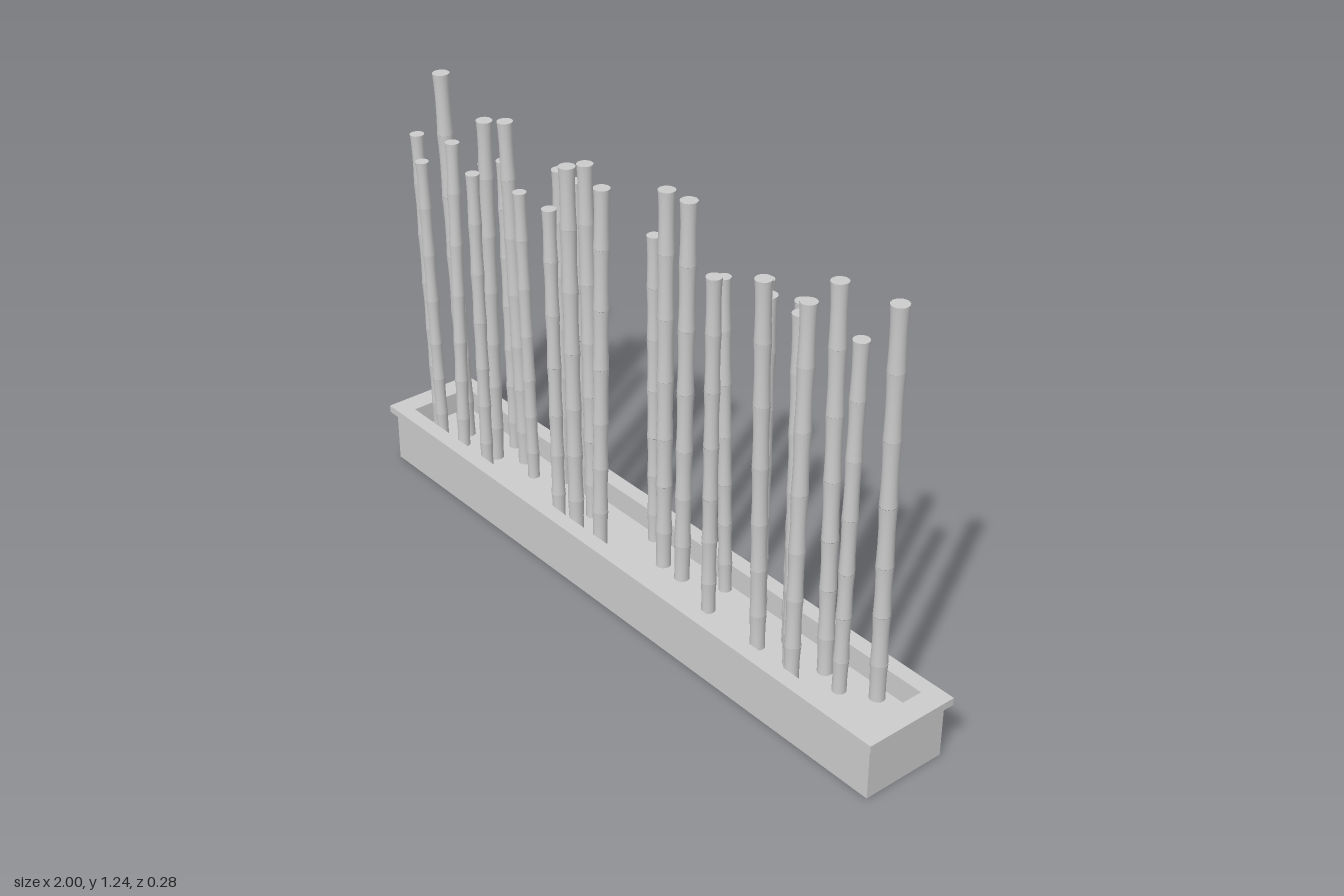
import * as THREE from 'three';
import { mergeGeometries } from 'three/addons/utils/BufferGeometryUtils.js';

const material = new THREE.MeshStandardMaterial({ color: 0xcccccc });
const SOIL = 0.11;
const ROOT = 0.075;

function rectangle(w, d, Type = THREE.Shape) {
  const s = new Type();
  s.moveTo(-w / 2, -d / 2);
  s.lineTo(w / 2, -d / 2);
  s.lineTo(w / 2, d / 2);
  s.lineTo(-w / 2, d / 2);
  s.closePath();
  return s;
}

// Rectangular ring standing on y, open in the middle
function frame(name, w, d, y, height) {
  const shape = rectangle(w, d);
  shape.holes.push(rectangle(1.87, 0.19, THREE.Path));
  const geometry = new THREE.ExtrudeGeometry(shape, { depth: height, bevelEnabled: false });
  geometry.rotateX(-Math.PI / 2).translate(0, y, 0);
  const mesh = new THREE.Mesh(geometry, material);
  mesh.name = name;
  return mesh;
}

// One cane of unit height and unit radius: waisted segments that flare at each node
function caneGeometry() {
  const nodes = [0, 0.128, 0.256, 0.383, 0.533, 0.692, 0.85, 1];
  const waist = [[0, 1], [0.12, 0.955], [0.35, 0.91], [0.6, 0.9], [0.85, 0.95], [1, 1.03]];
  const parts = [];
  for (let i = 0; i < nodes.length - 1; i++) {
    const length = nodes[i + 1] - nodes[i];
    const profile = waist.map(([t, r]) => new THREE.Vector2(r, nodes[i] + t * length));
    parts.push(new THREE.LatheGeometry(profile, 16));
  }
  const cap = new THREE.CircleGeometry(1.03, 16);
  cap.rotateX(-Math.PI / 2).translate(0, 1, 0);
  parts.push(cap);
  return mergeGeometries(parts);
}

// Each cane: top x, top z, top height, base x, base z
const canes = [
  [-0.907, 0.05, 1.05, -0.895, 0.035],
  [-0.86, 0.07, 0.99, -0.85, 0.055],
  [-0.835, 0.01, 1.24, -0.815, -0.01],
  [-0.79, 0.015, 1.055, -0.775, 0.035],
  [-0.72, -0.04, 1.0, -0.74, -0.06],
  [-0.67, -0.065, 1.02, -0.672, -0.075],
  [-0.635, 0.06, 1.03, -0.63, 0.055],
  [-0.635, 0.015, 1.17, -0.66, 0.0],
  [-0.605, -0.03, 1.165, -0.585, -0.048],
  [-0.515, -0.005, 1.0, -0.508, -0.02],
  [-0.413, -0.06, 1.085, -0.43, -0.07],
  [-0.338, -0.06, 1.08, -0.357, -0.08],
  [-0.3, 0.06, 1.05, -0.283, 0.062],
  [-0.258, -0.025, 1.165, -0.243, -0.025],
  [-0.222, 0.06, 1.195, -0.208, 0.06],
  [-0.118, 0.032, 1.165, -0.126, 0.045],
  [-0.045, -0.075, 1.03, -0.045, -0.08],
  [0.057, -0.03, 1.205, 0.062, -0.022],
  [0.145, -0.025, 1.21, 0.14, -0.02],
  [0.235, -0.06, 1.03, 0.252, -0.075],
  [0.307, 0.035, 1.09, 0.292, 0.02],
  [0.38, -0.065, 1.08, 0.4, -0.055],
  [0.45, -0.01, 1.085, 0.43, -0.03],
  [0.487, 0.045, 1.16, 0.487, 0.025],
  [0.52, -0.05, 1.085, 0.523, -0.048],
  [0.58, 0.015, 1.1, 0.59, 0.01],
  [0.625, 0.035, 1.155, 0.637, 0.05],
  [0.645, -0.04, 1.19, 0.67, -0.035],
  [0.75, -0.01, 1.095, 0.745, -0.01],
  [0.833, -0.037, 1.21, 0.825, -0.062],
];

export function createModel() {
  const model = new THREE.Group();
  model.name = 'bambooPlanter';

  // Planter: hollow trough, overhanging rim, closed bottom filled up to the soil
  model.add(frame('trough', 1.97, 0.25, 0, 0.155));
  model.add(frame('rim', 2, 0.28, 0.155, 0.021));
  const soil = new THREE.Mesh(new THREE.BoxGeometry(1.87, SOIL, 0.19), material);
  soil.name = 'soil';
  soil.position.y = SOIL / 2;
  model.add(soil);

  // Canes, each tilted from its base towards its top
  const bamboo = new THREE.Group();
  bamboo.name = 'bamboo';
  const geometry = caneGeometry();
  const up = new THREE.Vector3(0, 1, 0);
  for (const [tx, tz, height, bx, bz] of canes) {
    const base = new THREE.Vector3(bx, ROOT, bz);
    const axis = new THREE.Vector3(tx, height, tz).sub(base);
    const radius = 0.0185 * height;
    const cane = new THREE.Mesh(geometry, material);
    cane.name = 'cane';
    cane.position.copy(base);
    cane.scale.set(radius, axis.length(), radius);
    cane.quaternion.setFromUnitVectors(up, axis.normalize());
    bamboo.add(cane);
  }
  model.add(bamboo);
  return model;
}
